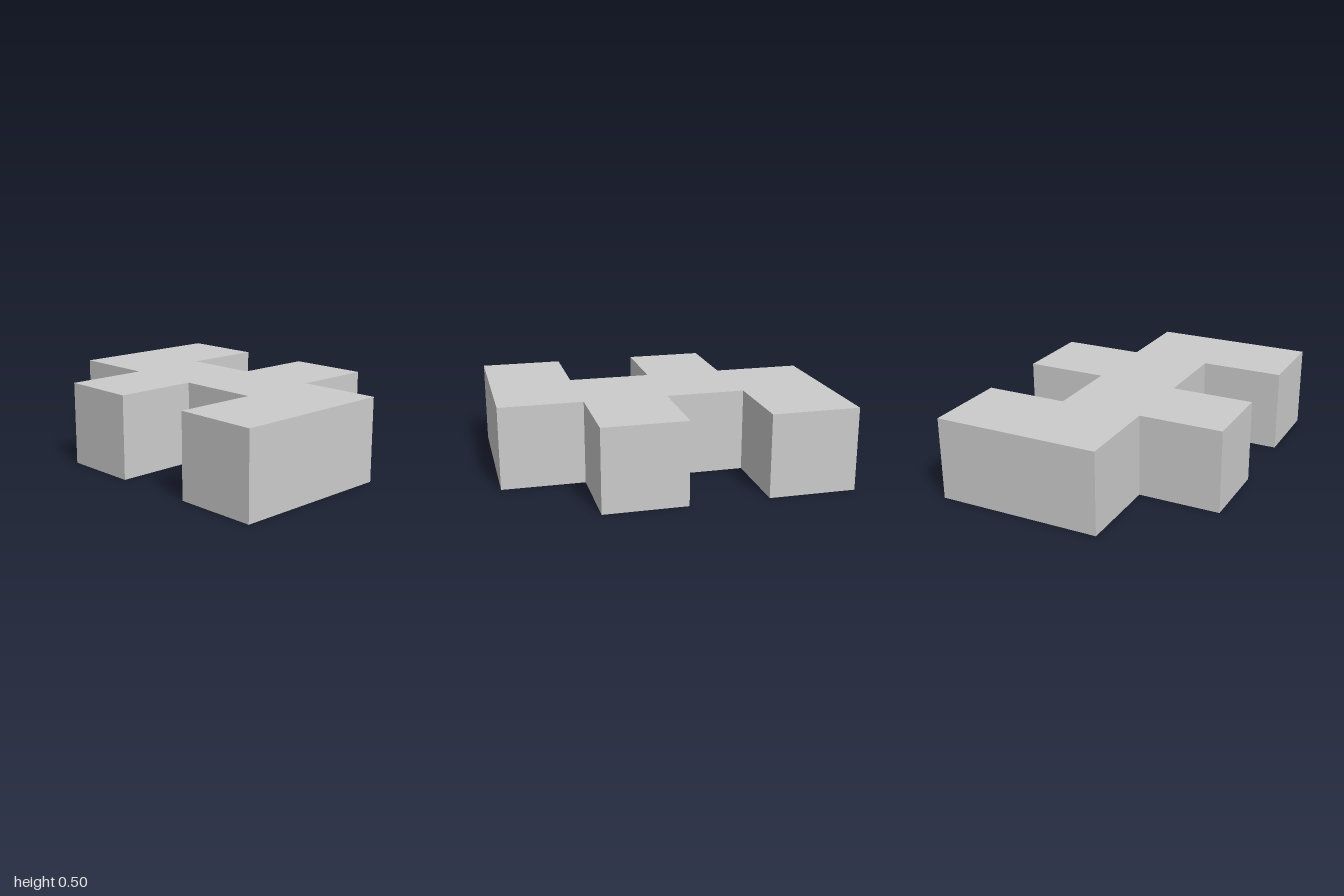
import * as THREE from 'three';

export function createModel() {
  const group = new THREE.Group();
  const material = new THREE.MeshStandardMaterial({ color: 0xcccccc, flatShading: true });

  // Plan outline as [x, z]: a straight spine with two staggered arms per side
  const outline = [
    [-0.75, 1], [0.245, 1], [0.245, 0.5], [0.745, 0.5], [0.745, 0], [0.245, 0],
    [0.245, -0.475], [0.745, -0.475], [0.745, -1], [-0.25, -1], [-0.25, -0.47],
    [-0.75, -0.47], [-0.75, 0], [-0.25, 0], [-0.25, 0.5], [-0.75, 0.5],
  ];
  const shape = new THREE.Shape(outline.map(([x, z]) => new THREE.Vector2(x, -z)));

  // Raise the plan into a solid standing on the ground
  const geometry = new THREE.ExtrudeGeometry(shape, { depth: 0.5, bevelEnabled: false });
  geometry.rotateX(-Math.PI / 2);

  const block = new THREE.Mesh(geometry, material);
  block.name = 'staggeredBlock';
  group.add(block);
  return group;
}
